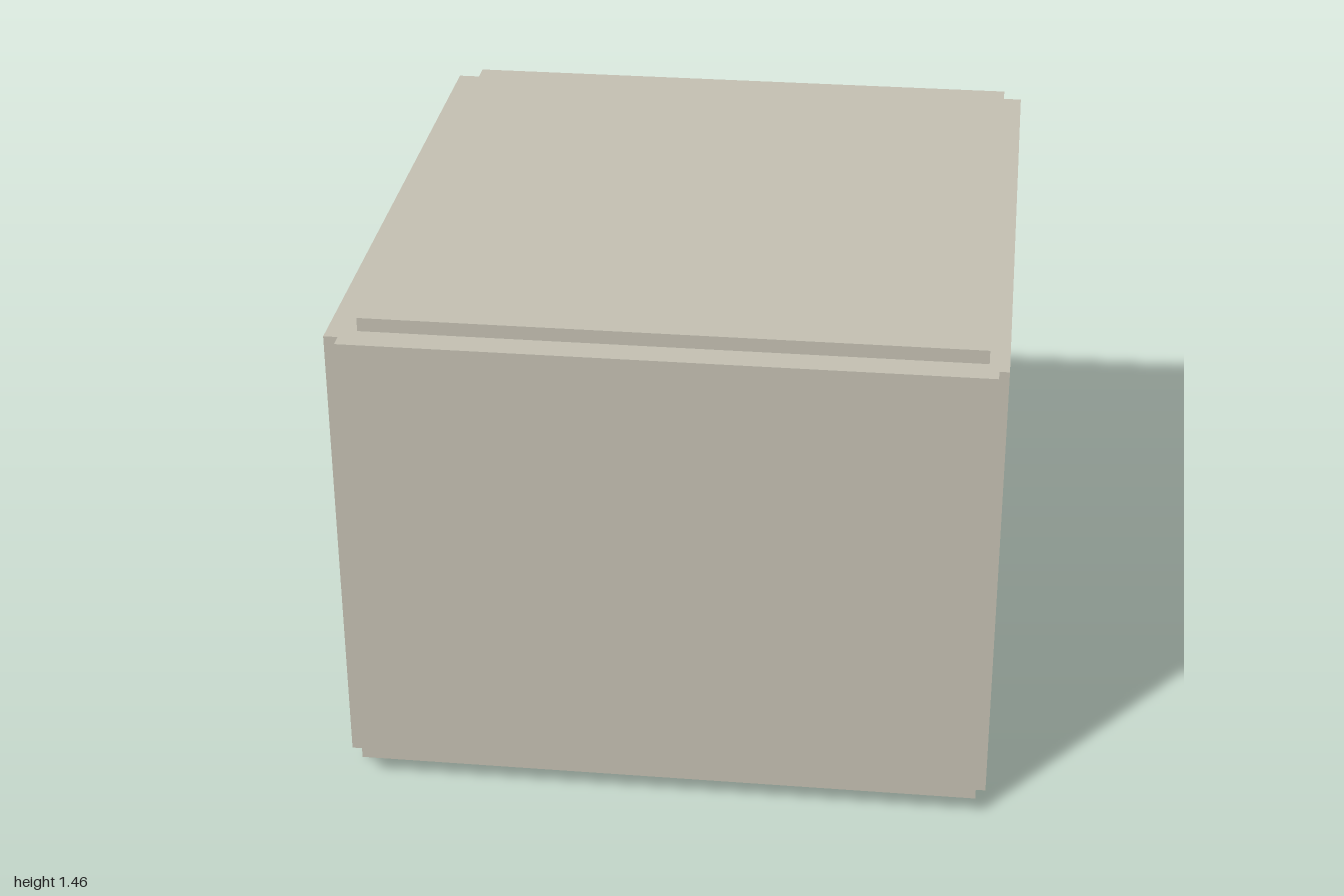
import * as THREE from 'three';
import { RoundedBoxGeometry } from 'three/addons/geometries/RoundedBoxGeometry.js';

const mat = (name, color) => {
  const m = new THREE.MeshStandardMaterial({ color });
  m.name = name;
  return m;
};

export function createModel() {
  const model = new THREE.Group();
  model.name = 'bedroom';
  const wall = mat('plaster', 0xc6c2b4);
  const wood = mat('floor wood', 0x9a8163);
  const dark = mat('cabinet wood', 0x846650);
  const glass = mat('glass blue', 0xb2cad2);
  const linen = mat('linen', 0xd2d0c4);
  const throwMat = mat('throw brown', 0xa98764);
  throwMat.side = THREE.DoubleSide;

  const add = (name, geometry, material, parent = model) => {
    const m = new THREE.Mesh(geometry, material);
    m.name = name;
    parent.add(m);
    return m;
  };
  // Box given by its lower and upper bounds on each axis
  const box = (name, material, x0, x1, y0, y1, z0, z1, parent) => {
    const m = add(name, new THREE.BoxGeometry(x1 - x0, y1 - y0, z1 - z0), material, parent);
    m.position.set((x0 + x1) / 2, (y0 + y1) / 2, (z0 + z1) / 2);
    return m;
  };
  const soft = (name, material, x0, x1, y0, y1, z0, z1, r) => {
    const m = add(name, new RoundedBoxGeometry(x1 - x0, y1 - y0, z1 - z0, 4, r), material);
    m.position.set((x0 + x1) / 2, (y0 + y1) / 2, (z0 + z1) / 2);
    return m;
  };

  // Floor, roof and front wall
  const F = 0.06, T = 1.42, H = 1.19;
  box('floor', wood, -0.85, 0.875, 0, F, -0.96, 0.913);
  box('roof', wall, -0.85, 0.875, T, 1.46, -0.963, 0.915);
  box('frontWall', wall, -0.895, 0.902, F, T, 0.915, 1);

  // Side walls: full-height piers and a header above each opening
  const sideWall = (name, x0, x1, piers) => {
    const g = new THREE.Group();
    g.name = name;
    model.add(g);
    piers.forEach(([a, b], i) => {
      box('pier', wall, x0, x1, F, T, a, b, g);
      if (i) box('header', wall, x0, x1, H, T, piers[i - 1][1], a, g);
    });
  };
  sideWall('leftWall', 0.875, 0.93, [[-1, -0.935], [-0.5, -0.35], [0.065, 0.957]]);
  sideWall('rightWall', -0.935, -0.85, [[-1, -0.525], [0.43, 0.957]]);

  // Glazed doors in the right wall
  for (const [a, b] of [[-0.525, -0.03], [-0.005, 0.43]]) {
    box('glassPane', glass, -0.915, -0.905, F, H, a, b);
  }
  box('mullion', wall, -0.945, -0.885, F - 0.01, H, -0.032, -0.004);
  box('windowJamb', wall, -0.945, -0.885, F - 0.01, H, 0.405, 0.43);
  box('windowSill', wall, -0.925, -0.85, F - 0.005, F + 0.012, -0.525, 0.43);

  // Partition behind the bed
  box('partition', wall, -0.85, 0, F, T, 0.59, 0.64);

  // Open wardrobe beside the partition
  const wardrobe = new THREE.Group();
  wardrobe.name = 'wardrobe';
  model.add(wardrobe);
  const wz0 = 0.65, wz1 = 0.914;
  box('plinth', wall, 0, 0.75, F, 0.27, wz0 + 0.02, wz1, wardrobe);
  for (const x of [0, 0.42, 0.73]) box('upright', dark, x, x + 0.02, 0.27, 1.22, wz0, wz1, wardrobe);
  for (const y of [0.27, 0.6, 0.74, 1.2]) box('shelf', dark, 0.02, 0.73, y, y + 0.02, wz0 + 0.004, wz1, wardrobe);
  for (const [a, b] of [[0.02, 0.42], [0.44, 0.73]]) {
    box('cupboardDoor', dark, a, b, 0.29, 0.6, wz0 + 0.002, wz0 + 0.012, wardrobe);
  }
  const rail = add('clothesRail', new THREE.CylinderGeometry(0.006, 0.006, 0.71, 10), wall, wardrobe);
  rail.rotation.z = Math.PI / 2;
  rail.position.set(0.375, 1.17, 0.76);

  // Hanging shirts
  const shirt = new THREE.Shape([
    [-0.02, 0], [0.02, 0], [0.06, -0.03], [0.085, -0.17], [0.06, -0.18], [0.048, -0.1],
    [0.05, -0.33], [-0.05, -0.33], [-0.048, -0.1], [-0.06, -0.18], [-0.085, -0.17], [-0.06, -0.03],
  ].map(([x, y]) => new THREE.Vector2(x, y)));
  const shirtGeo = new THREE.ExtrudeGeometry(shirt, { depth: 0.025, bevelEnabled: false });
  for (let i = 0; i < 8; i++) {
    const x = 0.08 + i * 0.083;
    const s = add('shirt', shirtGeo, i % 2 ? linen : glass, wardrobe);
    s.position.set(x, 1.13, 0.755);
    s.rotation.y = 0.95;
    const h = add('hanger', new THREE.CylinderGeometry(0.004, 0.004, 0.05, 6), dark, wardrobe);
    h.position.set(x + 0.01, 1.15, 0.76);
  }

  // Floating bedside shelf
  box('bedsideShelf', dark, 0.52, 0.7, 0.38, 0.415, 0.55, 0.655);

  // Rug and bed
  box('rug', wood, -0.4, 0.8, F, 0.066, -0.41, 0.35);
  const bx0 = -0.15, bx1 = 0.55;
  soft('mattress', linen, bx0, bx1, 0.067, 0.142, -0.222, 0.59, 0.03);
  soft('duvet', linen, bx0 + 0.005, bx1 - 0.005, 0.12, 0.183, -0.19, 0.42, 0.02);
  box('headboard', dark, bx0 - 0.03, bx1 - 0.12, 0.067, 0.36, 0.575, 0.59);
  for (const x of [0.02, 0.37]) {
    const p = soft('pillow', linen, x - 0.15, x + 0.15, 0.14, 0.205, 0.41, 0.57, 0.03);
    p.rotation.x = -0.12;
  }

  // Rumpled throw across the foot of the bed
  const throwGeo = new THREE.BoxGeometry(bx1 - bx0 + 0.03, 0.04, 0.25, 48, 1, 16);
  const p = throwGeo.attributes.position;
  for (let i = 0; i < p.count; i++) {
    const x = p.getX(i), z = p.getZ(i);
    const wave = 0.007 * Math.sin(z * 75 + 2.2 * Math.sin(x * 9)) + 0.004 * Math.sin(x * 30);
    p.setY(i, p.getY(i) + wave);
    p.setZ(i, z + 0.008 * Math.sin(x * 14));
  }
  throwGeo.computeVertexNormals();
  add('throwBlanket', throwGeo, throwMat).position.set((bx0 + bx1) / 2, 0.171, -0.1);

  return model;
}
